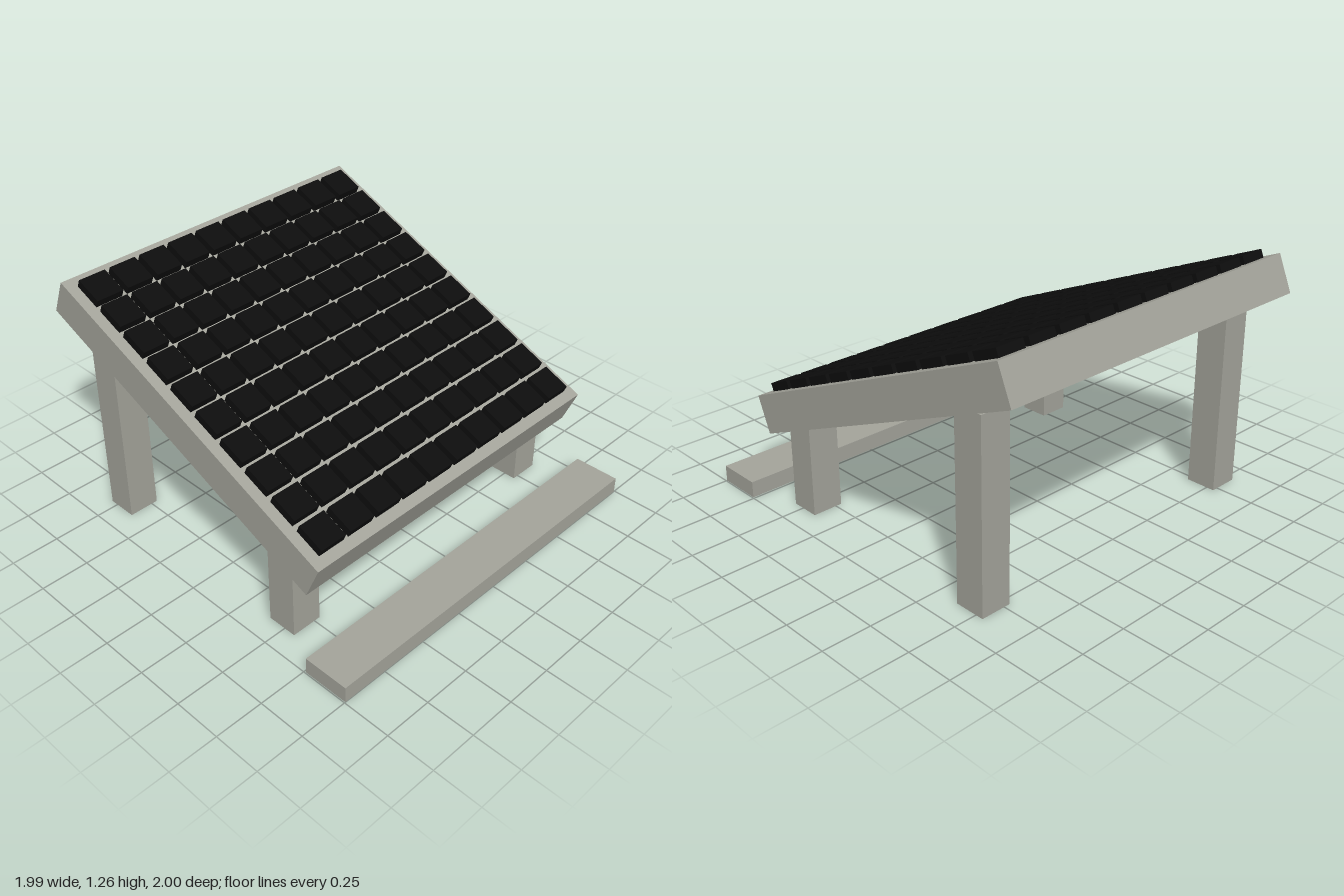
import * as THREE from 'three';

export function createModel() {
  const model = new THREE.Group();
  model.name = 'solarPanel';
  const concrete = new THREE.MeshStandardMaterial({ color: 0xa3a39a });
  concrete.name = 'warm grey';
  const black = new THREE.MeshStandardMaterial({ color: 0x0d0d0d });
  black.name = 'cell black';

  const box = (parent, name, material, size, pos) => {
    const mesh = new THREE.Mesh(new THREE.BoxGeometry(...size), material);
    mesh.name = name;
    mesh.position.set(...pos);
    parent.add(mesh);
    return mesh;
  };

  // Low beam lying in front
  box(model, 'groundBeam', concrete, [1.99, 0.085, 0.24], [0, 0.0425, 0.88]);

  // Short front legs and tall back legs
  for (const side of [-1, 1]) {
    box(model, 'frontLeg', concrete, [0.16, 0.48, 0.157], [side * 0.798, 0.24, 0.483]);
    box(model, 'backLeg', concrete, [0.16, 0.96, 0.16], [side * 0.798, 0.48, -0.711]);
  }

  // Tilted slab with its grid of cells
  const panel = new THREE.Group();
  panel.name = 'tiltedPanel';
  panel.position.set(0, 0.8, -0.119);
  panel.rotation.x = Math.atan2(0.71, 1.685);
  model.add(panel);
  const thick = 0.195;
  box(panel, 'slab', concrete, [1.83, thick, 1.829], [0, 0, 0]);

  const count = 10, pitch = 0.1746, cell = 0.146, height = 0.042;
  const cells = new THREE.Group();
  cells.name = 'cells';
  panel.add(cells);
  for (let row = 0; row < count; row++) {
    for (let col = 0; col < count; col++) {
      const x = (col - (count - 1) / 2) * pitch;
      const z = (row - (count - 1) / 2) * pitch;
      box(cells, 'cell', black, [cell, height, cell], [x, (thick + height) / 2, z]);
    }
  }
  return model;
}
